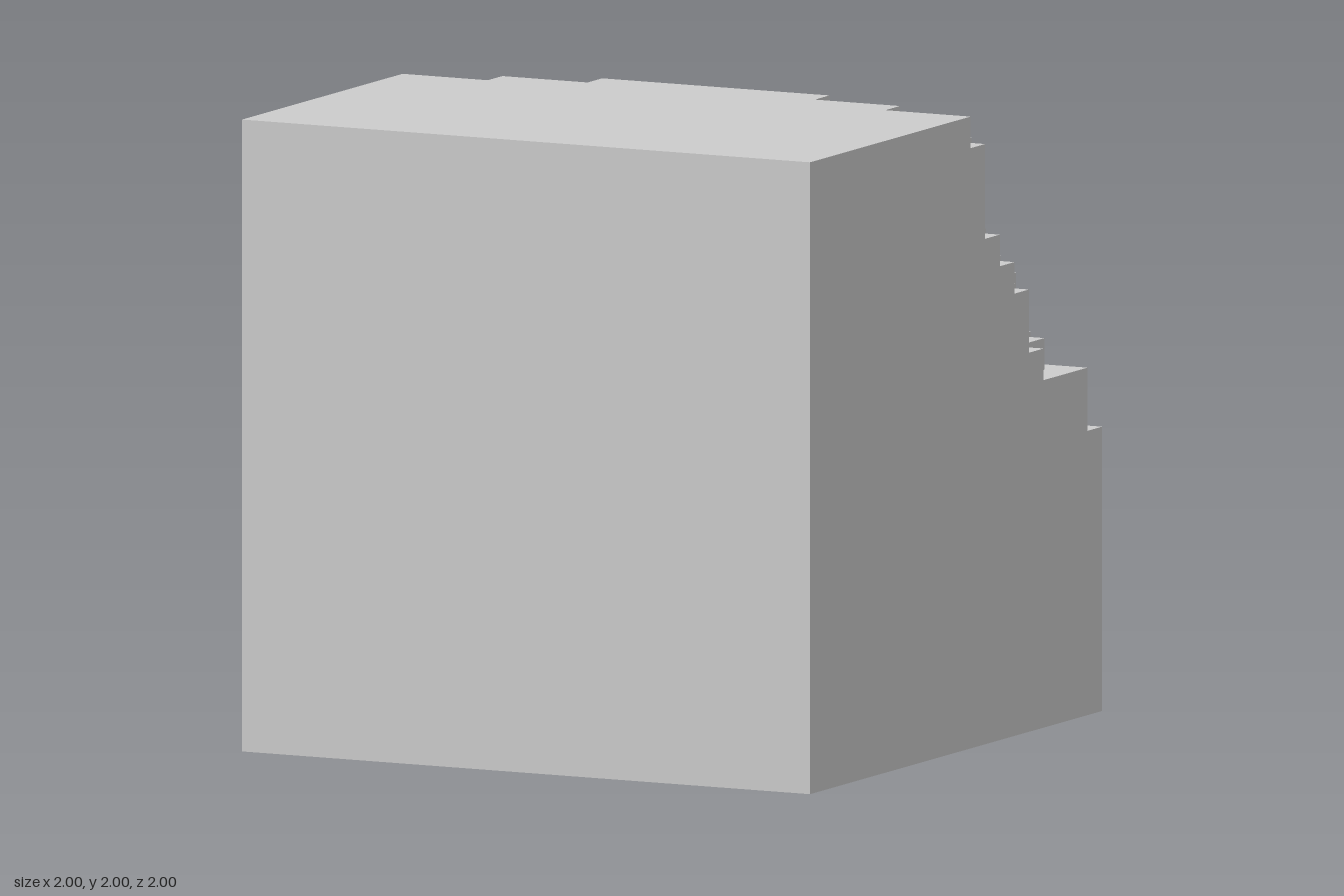
import * as THREE from 'three';

const N = 20;    // cells per side
const S = 0.1;   // cell size

// Terraces from the back edge forward: [height, end column] runs along +x, in cells
const terraces = [
  [[9, 1], [10, 3], [11, 6], [12, 14], [11, 17], [10, 19], [9, 20]],
  [[11, 1], [12, 4], [13, 17], [12, 18], [11, 20]],
  [[11, 1], [13, 2], [14, 7], [13, 8], [14, 18], [12, 19], [11, 20]],
  [[11, 1], [14, 4], [15, 16], [14, 18], [12, 19], [11, 20]],
  [[12, 1], [16, 17], [15, 18], [14, 19], [12, 20]],
  [[14, 1], [16, 3], [17, 4], [18, 8], [17, 10], [18, 12], [17, 13], [18, 15], [17, 16], [16, 18], [15, 19], [14, 20]],
  [[15, 1], [18, 2], [19, 18], [16, 19], [15, 20]],
  [[16, 1], [19, 6], [20, 14], [19, 19], [16, 20]],
  [[19, 3], [20, 17], [19, 20]],
];

// Height of a cell; zero outside the block, full height in front of the terraces
function heightAt(i, k) {
  if (i < 0 || k < 0 || i >= N || k >= N) return 0;
  if (k >= terraces.length) return N;
  return terraces[k].find(([, end]) => i < end)[0];
}

function terrainGeometry() {
  const pos = [];
  const quad = (a, b, c, d) => {
    for (const p of [a, b, c, a, c, d]) {
      pos.push((p[0] - N / 2) * S, p[1] * S, (p[2] - N / 2) * S);
    }
  };
  for (let k = 0; k < N; k++) {
    for (let i = 0; i < N; i++) {
      const h = heightAt(i, k);
      // tread
      quad([i, h, k], [i, h, k + 1], [i + 1, h, k + 1], [i + 1, h, k]);
      // walls down to each lower neighbour
      for (const [dx, dz] of [[1, 0], [-1, 0], [0, 1], [0, -1]]) {
        const low = heightAt(i + dx, k + dz);
        if (low >= h) continue;
        const cx = i + 0.5 + dx / 2, cz = k + 0.5 + dz / 2;
        const tx = dz / 2, tz = -dx / 2;
        quad([cx - tx, low, cz - tz], [cx + tx, low, cz + tz],
          [cx + tx, h, cz + tz], [cx - tx, h, cz - tz]);
      }
    }
  }
  // underside
  quad([0, 0, 0], [N, 0, 0], [N, 0, N], [0, 0, N]);
  const geo = new THREE.BufferGeometry();
  geo.setAttribute('position', new THREE.Float32BufferAttribute(pos, 3));
  geo.computeVertexNormals();
  return geo;
}

export function createModel() {
  const group = new THREE.Group();
  group.name = 'terracedBlock';
  const material = new THREE.MeshStandardMaterial({ color: 0xcccccc, flatShading: true });
  const block = new THREE.Mesh(terrainGeometry(), material);
  block.name = 'steppedTerrain';
  group.add(block);
  return group;
}
